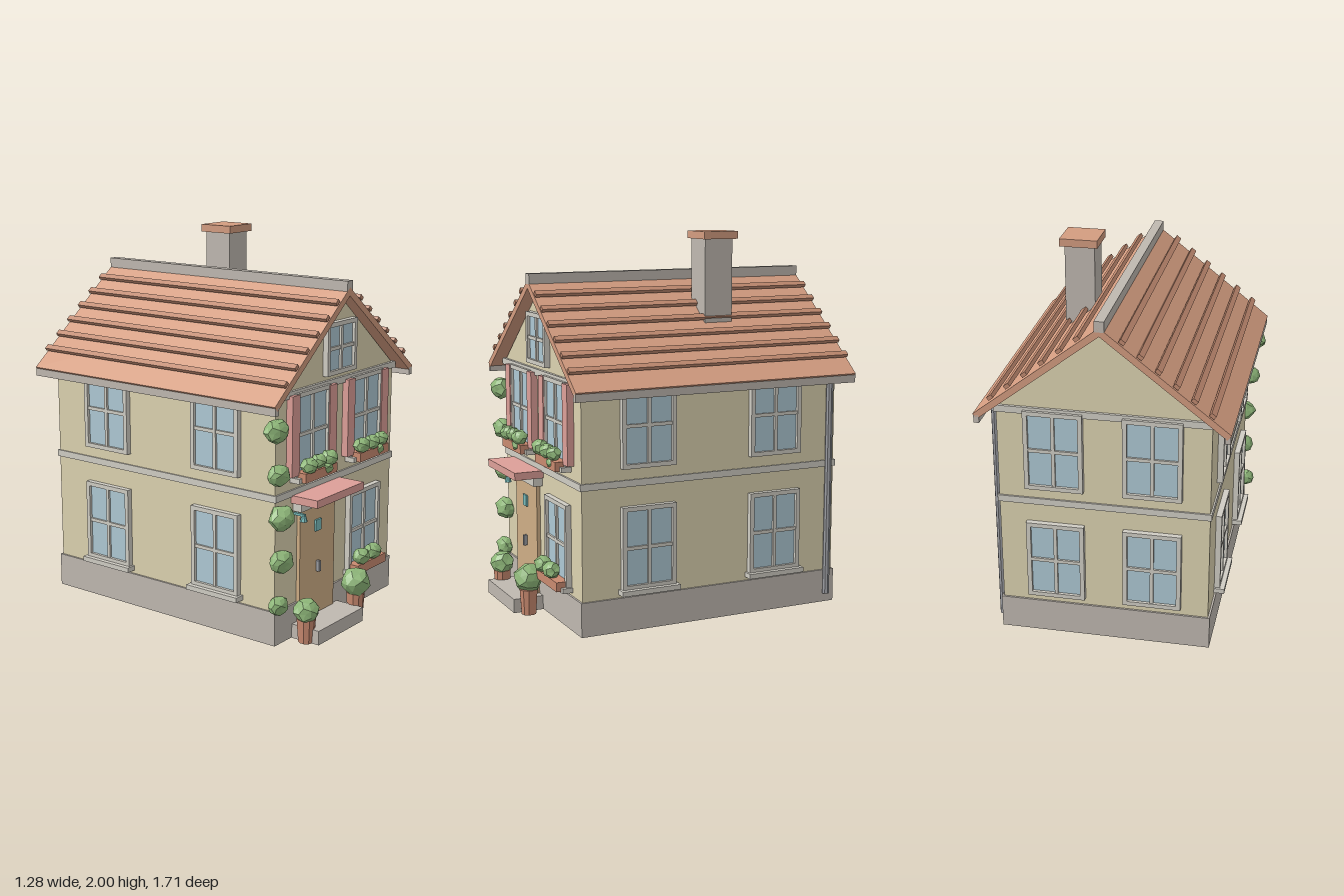
import * as THREE from 'three';

const COLORS = {
  wall: 0xdcd2b0, stone: 0xbfb8b0, trim: 0xd0cdc4, roof: 0xd39c80, batten: 0xc08a70, pink: 0xdd9f98,
  door: 0xcfae86, glass: 0xaec9d4, teal: 0x78bcbc, leaf: 0x8fb87a, clay: 0xc98a70, metal: 0x9a9ba0,
};
const mats = {};
for (const key in COLORS) {
  mats[key] = new THREE.MeshStandardMaterial({ color: COLORS[key], flatShading: true });
}

function add(parent, name, geometry, mat, x = 0, y = 0, z = 0) {
  const mesh = new THREE.Mesh(geometry, mats[mat]);
  mesh.name = name;
  mesh.position.set(x, y, z);
  parent.add(mesh);
  return mesh;
}

// Box given by its minimum and maximum corners
function box(parent, name, mat, [x0, y0, z0], [x1, y1, z1]) {
  return add(parent, name, new THREE.BoxGeometry(x1 - x0, y1 - y0, z1 - z0), mat,
    (x0 + x1) / 2, (y0 + y1) / 2, (z0 + z1) / 2);
}

function prism(points, depth) {
  const shape = new THREE.Shape(points.map(([x, y]) => new THREE.Vector2(x, y)));
  return new THREE.ExtrudeGeometry(shape, { depth, bevelEnabled: false });
}

// Lumpy low-poly foliage: each vertex direction is pushed in or out by a smooth rule
function foliage(parent, name, x, y, z, rx, ry, rz) {
  const geo = new THREE.IcosahedronGeometry(1, 1);
  const p = geo.attributes.position;
  const v = new THREE.Vector3();
  const seed = x * 37 + y * 23;
  for (let i = 0; i < p.count; i++) {
    v.fromBufferAttribute(p, i);
    const k = 1 + 0.12 * Math.sin(v.x * 4 + seed) * Math.cos(v.y * 5 - seed + v.z * 3);
    p.setXYZ(i, v.x * k * rx, v.y * k * ry, v.z * k * rz);
  }
  geo.computeVertexNormals();
  return add(parent, name, geo, 'leaf', x, y, z);
}

// Four-pane window facing +z, its back on the wall plane
function makeWindow(w, h, sill) {
  const g = new THREE.Group();
  g.name = 'window';
  const b = 0.023, a = w / 2, c = h / 2;
  const frame = new THREE.Shape([[-a, -c], [a, -c], [a, c], [-a, c]].map(([x, y]) => new THREE.Vector2(x, y)));
  frame.holes.push(new THREE.Path(
    [[-a + b, -c + b], [-a + b, c - b], [a - b, c - b], [a - b, -c + b]].map(([x, y]) => new THREE.Vector2(x, y))));
  add(g, 'windowFrame', new THREE.ExtrudeGeometry(frame, { depth: 0.03, bevelEnabled: false }), 'trim');
  box(g, 'glass', 'glass', [-a + b, -c + b, 0], [a - b, c - b, 0.014]);
  box(g, 'verticalBar', 'trim', [-0.009, -c + b, 0.005], [0.009, c - b, 0.026]);
  box(g, 'crossBar', 'trim', [-a + b, -0.009, 0.005], [a - b, 0.009, 0.025]);
  if (sill) box(g, 'windowSill', 'trim', [-a - 0.013, -c - 0.022, 0], [a + 0.013, -c + 0.004, 0.055]);
  return g;
}

export function createModel() {
  const house = new THREE.Group();
  house.name = 'house';
  const FRONT = 0.67, BACK = -0.79, SIDE = 0.54;
  const ROOF_BACK = -0.857, ROOF_FRONT = 0.737, ROOF_LEN = ROOF_FRONT - ROOF_BACK;

  // Walls with gables, and stone base
  add(house, 'walls', prism([[-SIDE, 0], [SIDE, 0], [SIDE, 1.28], [0, 1.715], [-SIDE, 1.28]], FRONT - BACK),
    'wall', 0, 0, BACK);
  box(house, 'foundation', 'stone', [-0.55, 0.002, -0.8], [0.55, 0.18, 0.68]);
  box(house, 'floorBand', 'trim', [-0.548, 0.75, -0.8], [0.548, 0.785, 0.68]);
  box(house, 'frontGableBand', 'trim', [-0.55, 1.255, FRONT - 0.01], [0.55, 1.29, 0.685]);
  box(house, 'backGableBand', 'trim', [-0.55, 1.255, -0.805], [0.55, 1.29, BACK + 0.01]);

  // Roof, ridge, eaves and battens
  add(house, 'roof', prism([[0, 1.757], [-0.64, 1.257], [-0.62, 1.23], [0, 1.713], [0.62, 1.23], [0.64, 1.257]],
    ROOF_LEN), 'roof', 0, 0, ROOF_BACK);
  box(house, 'ridgeCap', 'stone', [-0.025, 1.735, ROOF_BACK], [0.025, 1.79, ROOF_FRONT]);
  const slope = Math.atan2(0.5, 0.64);
  for (const s of [-1, 1]) {
    box(house, 'eaveGutter', 'stone', [s * 0.622 - 0.014, 1.21, ROOF_BACK], [s * 0.622 + 0.014, 1.25, ROOF_FRONT]);
    for (let i = 0; i < 6; i++) {
      const x = 0.11 + i * 0.0875;
      const batten = add(house, 'roofBatten', new THREE.BoxGeometry(0.03, 0.02, ROOF_LEN), 'batten',
        s * x, 1.757 - x * 0.781 + 0.022, (ROOF_FRONT + ROOF_BACK) / 2);
      batten.rotation.z = -s * slope;
    }
  }

  // Chimney
  box(house, 'chimney', 'stone', [0.143, 1.48, -0.297], [0.297, 1.96, -0.137]);
  box(house, 'chimneyCap', 'roof', [0.125, 1.96, -0.317], [0.32, 2, -0.12]);

  // Windows on all four walls
  const place = (w, h, x, y, z, turn, sill) => {
    const win = makeWindow(w, h, sill);
    win.position.set(x, y, z);
    win.rotation.y = turn;
    house.add(win);
  };
  const LOW = 0.435, HIGH = 1.06;
  for (const s of [-1, 1]) {
    for (const z of [0.31, -0.42]) {
      place(0.3, 0.43, s * SIDE, LOW, z, s * Math.PI / 2, true);
      place(0.3, 0.43, s * SIDE, HIGH, z, s * Math.PI / 2, false);
    }
    place(0.3, 0.43, s * 0.25, LOW, BACK, Math.PI, false);
    place(0.3, 0.43, s * 0.25, HIGH, BACK, Math.PI, false);
    place(0.3, 0.43, s * 0.25, HIGH, FRONT, 0, true);
    // Shutters and upper flower boxes
    for (const t of [-1, 1]) {
      const x = s * 0.25 + t * 0.165;
      box(house, 'shutter', 'pink', [x - 0.033, 0.86, FRONT], [x + 0.033, 1.27, FRONT + 0.036]);
    }
    box(house, 'flowerBox', 'clay', [s * 0.25 - 0.14, 0.826, 0.685], [s * 0.25 + 0.14, 0.875, 0.75]);
  }
  place(0.3, 0.43, 0.25, LOW, FRONT, 0, true);
  place(0.27, 0.27, 0, 1.45, FRONT, 0, false);
  box(house, 'flowerBox', 'clay', [0.11, 0.205, 0.685], [0.39, 0.254, 0.75]);

  // Flowers: x, y, radius
  for (const [x, y, r] of [
    [-0.34, 0.905, 0.05], [-0.255, 0.912, 0.045], [-0.16, 0.91, 0.05], [-0.185, 0.865, 0.038],
    [0.145, 0.91, 0.05], [0.245, 0.907, 0.048], [0.335, 0.91, 0.045], [0.31, 0.86, 0.035],
    [0.165, 0.295, 0.053], [0.28, 0.292, 0.053],
  ]) foliage(house, 'flowers', x, y, 0.735, r, r * 0.82, r * 0.85);

  // Door, porch and step
  box(house, 'door', 'door', [-0.35, 0.07, FRONT - 0.01], [-0.035, 0.67, 0.69]);
  box(house, 'doorLintel', 'trim', [-0.385, 0.67, FRONT - 0.01], [0.005, 0.716, 0.72]);
  box(house, 'doorCanopy', 'pink', [-0.405, 0.716, FRONT - 0.01], [0.02, 0.756, 0.83]);
  box(house, 'doorPane', 'teal', [-0.22, 0.525, 0.68], [-0.17, 0.585, 0.7]);
  box(house, 'doorHandle', 'metal', [-0.203, 0.305, 0.68], [-0.186, 0.362, 0.71]);
  box(house, 'doorStep', 'stone', [-0.4, 0, FRONT], [0.015, 0.075, 0.845]);

  // Wall lamp
  box(house, 'lampBracket', 'teal', [-0.383, 0.65, FRONT], [-0.367, 0.662, 0.735]);
  add(house, 'lamp', new THREE.CylinderGeometry(0.012, 0.02, 0.03, 8), 'teal', -0.375, 0.638, 0.728);

  // Potted bushes beside the door
  for (const [x, y, z, r, h] of [[-0.395, 0.165, 0.765, 0.068, 0.125], [0.05, 0.195, 0.775, 0.08, 0.135]]) {
    add(house, 'pot', new THREE.CylinderGeometry(0.049, 0.04, h, 10), 'clay', x, h / 2, z);
    foliage(house, 'bush', x, y, z, r, r * 0.93, r * 0.95);
  }

  // Climbing plant on the front corner
  for (const [x, y, r] of [
    [-0.565, 1.12, 0.073], [-0.545, 0.895, 0.067], [-0.515, 0.67, 0.078], [-0.515, 0.445, 0.072], [-0.54, 0.22, 0.06],
  ]) foliage(house, 'climber', x, y, 0.695, r, r * 0.82, r * 0.75);

  // Drainpipe at the back corner
  add(house, 'drainpipe', new THREE.CylinderGeometry(0.019, 0.019, 1.19, 8), 'metal', 0.558, 0.645, -0.75);

  return house;
}
